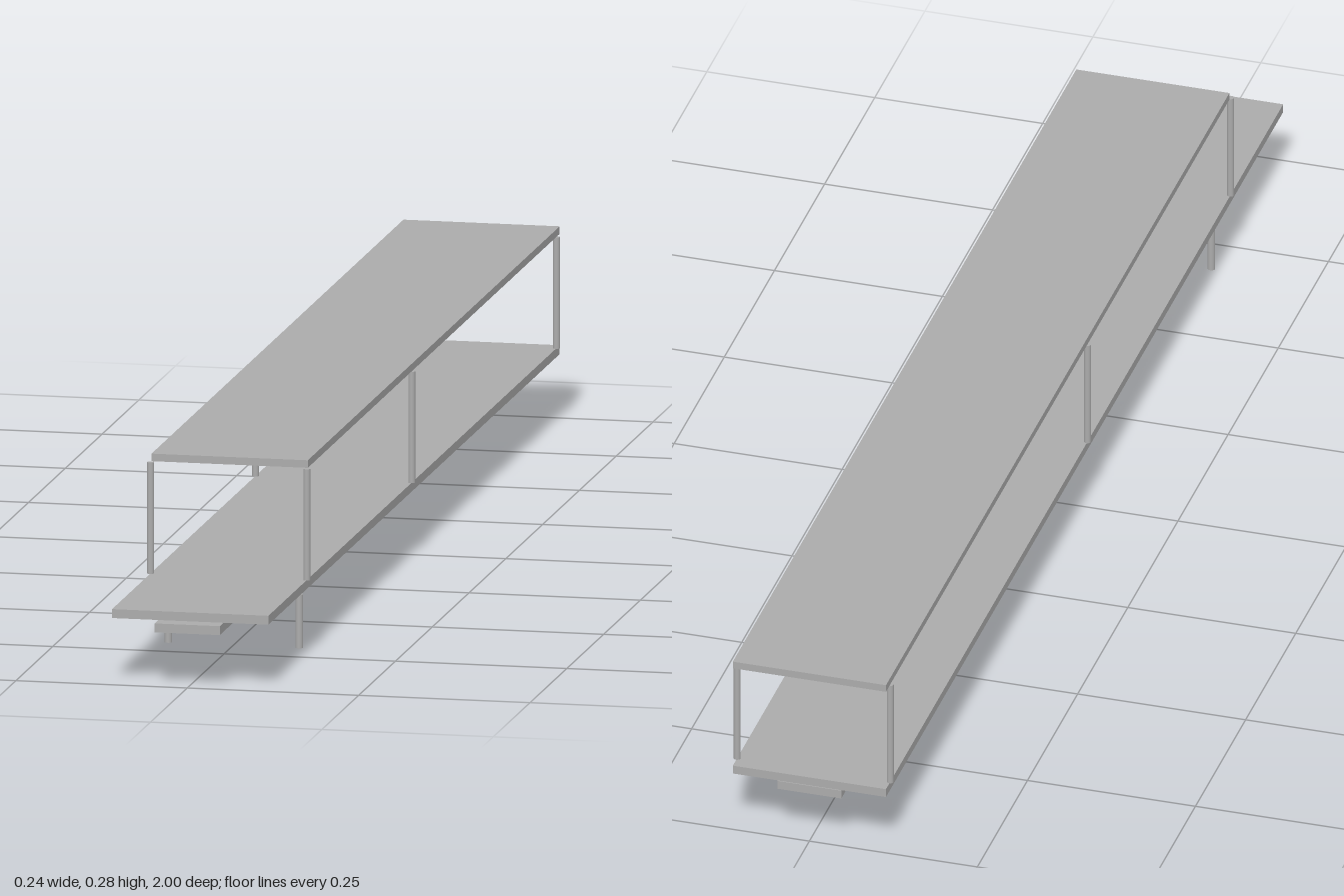
import * as THREE from 'three';

export function createModel() {
  const model = new THREE.Group();
  const grey = new THREE.MeshStandardMaterial({ color: 0xababab });
  grey.name = 'plain grey';

  function add(name, geometry, x, y, z) {
    const mesh = new THREE.Mesh(geometry, grey);
    mesh.name = name;
    mesh.position.set(x, y, z);
    model.add(mesh);
  }

  // Flat slab given by half width, bottom, top, back and front
  function slab(name, halfWidth, y0, y1, z0, z1) {
    add(name, new THREE.BoxGeometry(halfWidth * 2, y1 - y0, z1 - z0), 0, (y0 + y1) / 2, (z0 + z1) / 2);
  }

  // Mirrored pair of round uprights
  function uprights(name, x, y0, y1, z, radius) {
    const geometry = new THREE.CylinderGeometry(radius, radius, y1 - y0, 16);
    add(name + 'Left', geometry, x, (y0 + y1) / 2, z);
    add(name + 'Right', geometry, -x, (y0 + y1) / 2, z);
  }

  // Deck, the beam under it and the roof
  slab('deck', 0.114, 0.093, 0.106, -1, 0.98);
  slab('centreBeam', 0.0475, 0.079, 0.092, -1, 1);
  slab('roof', 0.114, 0.268, 0.279, -1, 0.712);

  // Three pairs of roof posts
  uprights('frontPost', 0.114, 0.106, 0.268, 0.718, 0.005);
  uprights('middlePost', 0.114, 0.106, 0.268, 0.005, 0.005);
  uprights('backPost', 0.114, 0.106, 0.268, -0.978, 0.005);

  // Short legs below the front
  uprights('frontLeg', 0.0955, 0, 0.078, 0.684, 0.0055);

  return model;
}
